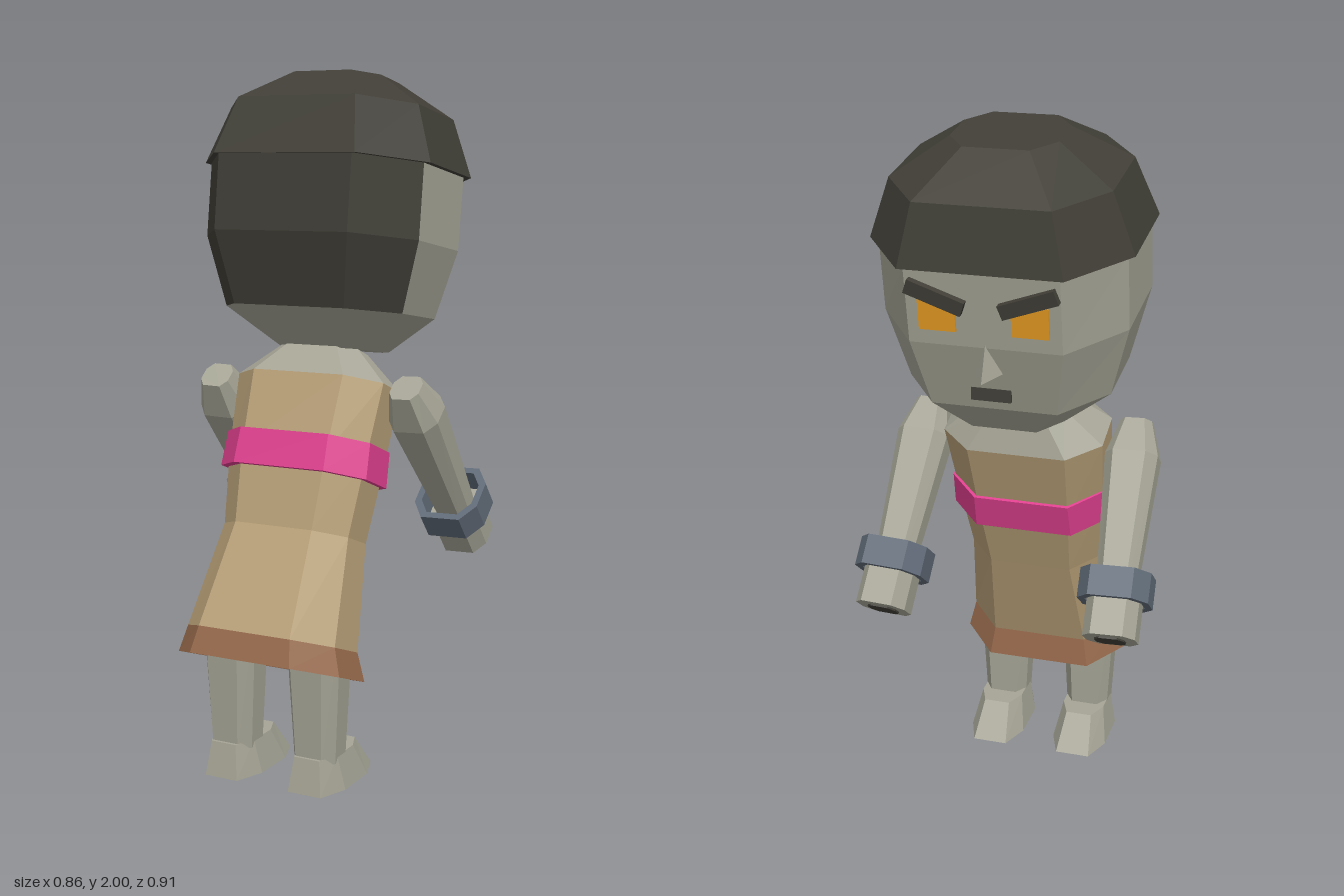
import * as THREE from 'three';

// Eight-sided cross-section (x, z), a square with cut corners, starting at the +z/+x corner
const OCT = [[0.61, 1], [1, 0.44], [1, -0.44], [0.61, -1], [-0.61, -1], [-1, -0.44], [-1, 0.44], [-0.61, 1]];
const ALL = [0, 1, 2, 3, 4, 5, 6, 7];

function fromPoints(points) {
  const g = new THREE.BufferGeometry();
  g.setAttribute('position', new THREE.Float32BufferAttribute(points.flat(), 3));
  g.computeVertexNormals();
  return g;
}

// Skin rings [y, zCentre, halfWidth, halfDepth], listed from bottom to top
function loft(rings, { bottom = false, top = false, sides = ALL } = {}) {
  const loops = rings.map(([y, cz, hx, hz]) => OCT.map(([x, z]) => [x * hx, y, cz + z * hz]));
  const pts = [];
  for (let r = 0; r + 1 < loops.length; r++) {
    for (const i of sides) {
      const j = (i + 1) % 8, lo = loops[r], hi = loops[r + 1];
      pts.push(lo[i], lo[j], hi[j], lo[i], hi[j], hi[i]);
    }
  }
  const first = loops[0], last = loops[loops.length - 1];
  for (let i = 1; i < 7; i++) {
    if (bottom) pts.push(first[0], first[i + 1], first[i]);
    if (top) pts.push(last[0], last[i], last[i + 1]);
  }
  return fromPoints(pts);
}

function material(name, color, doubleSided = false) {
  const m = new THREE.MeshStandardMaterial({ color, flatShading: true });
  m.name = name;
  if (doubleSided) m.side = THREE.DoubleSide;
  return m;
}

function add(parent, name, geometry, mat, x = 0, y = 0, z = 0) {
  const mesh = new THREE.Mesh(geometry, mat);
  mesh.name = name;
  mesh.position.set(x, y, z);
  parent.add(mesh);
  return mesh;
}

function group(parent, name, x, y, z, tilt) {
  const g = new THREE.Group();
  g.name = name;
  g.position.set(x, y, z);
  g.rotation.x = tilt;
  parent.add(g);
  return g;
}

export function createModel() {
  const skin = material('grey skin', 0xa6a596);
  const hair = material('dark hair', 0x403e36);
  const cloth = material('tan cloth', 0xb8a078, true);
  const trim = material('brown trim', 0x976a4c, true);
  const sash = material('pink sash', 0xe0408f);
  const metal = material('blue grey metal', 0x616b78);
  const amber = material('amber eyes', 0xf5a524);

  const model = new THREE.Group();
  model.name = 'figure';

  // Head, tipped forward; the face looks toward -z
  const head = group(model, 'head', 0, 1.2, -0.105, -0.15);
  const jaw = [0.105, 0.044, 0.285, 0.256];
  const cheek = [0.305, 0.063, 0.34, 0.316];
  const brow = [0.517, 0.064, 0.34, 0.32];
  add(head, 'chin', loft([[0, 0, 0.15, 0.136], jaw], { bottom: true }), skin);
  add(head, 'face', loft([jaw, cheek, brow], { sides: [1, 2, 3, 4, 5] }), skin);
  add(head, 'backHair', loft([jaw, cheek, brow], { sides: [6, 7, 0] }), hair);
  add(head, 'hairCap', loft([
    brow, [0.517, 0.06, 0.36, 0.331], [0.682, 0.057, 0.3, 0.283], [0.78, 0.057, 0.147, 0.137],
  ], { top: true }), hair);

  // Facial features
  for (const s of [1, -1]) {
    add(head, 'eye', new THREE.BoxGeometry(0.1, 0.085, 0.008), amber, s * 0.125, 0.39, -0.256);
    const eyebrow = add(head, 'eyebrow', new THREE.BoxGeometry(0.16, 0.04, 0.025), hair, s * 0.125, 0.445, -0.262);
    eyebrow.rotation.z = s * 0.35;
  }
  const bridge = [0, 0.32, -0.25], tip = [0, 0.225, -0.305];
  const nostrilL = [0.04, 0.225, -0.234], nostrilR = [-0.04, 0.225, -0.234];
  add(head, 'nose', fromPoints([
    bridge, nostrilL, tip, bridge, tip, nostrilR, nostrilL, nostrilR, tip,
  ]), skin);
  const mouth = add(head, 'mouth', new THREE.BoxGeometry(0.11, 0.035, 0.009), hair, 0, 0.155, -0.226);
  mouth.rotation.x = 0.2;

  // Leaning torso: open robe with trim, sash and bare shoulders
  const torso = group(model, 'torso', 0, 0.3375, 0.2825, -0.36);
  const hemTop = [0.077, 0.02, 0.235, 0.168];
  const collar = [0.825, 0, 0.235, 0.137];
  add(torso, 'hemTrim', loft([[0, 0, 0.257, 0.188], hemTop]), trim);
  add(torso, 'robe', loft([hemTop, [0.383, -0.008, 0.2, 0.134], [0.6, 0, 0.22, 0.142], collar]), cloth);
  add(torso, 'sash', loft([
    [0.547, 0, 0.2, 0.13], [0.547, 0, 0.235, 0.158], [0.65, 0.004, 0.23, 0.154], [0.65, 0.004, 0.2, 0.13],
  ]), sash);
  add(torso, 'shoulders', loft([collar, [0.925, 0, 0.125, 0.078]], { top: true }), skin);

  for (const s of [1, -1]) {
    // Legs and wedge-shaped feet
    add(model, 'leg', loft([[0.08, 0.24, 0.065, 0.07], [0.5, 0.245, 0.088, 0.088]], { top: true }), skin, s * 0.135);
    add(model, 'foot', loft([[0, 0.178, 0.085, 0.158], [0.1, 0.21, 0.065, 0.11]],
      { bottom: true, top: true }), skin, s * 0.135);

    // Arms reach forward and slightly out
    const arm = group(model, 'arm', s * 0.31, 1.08, 0.02, 0.68);
    arm.rotation.z = s * 0.04;
    add(arm, 'sleeveArm', loft([
      [-0.48, 0, 0.052, 0.052], [-0.05, 0, 0.076, 0.073], [0.055, 0, 0.045, 0.045],
    ], { top: true }), skin);
    add(arm, 'hand', loft([[-0.577, 0, 0.074, 0.074], [-0.455, 0, 0.074, 0.074]], { bottom: true, top: true }), skin);
    add(arm, 'palmHollow', loft([[-0.582, 0, 0.042, 0.042], [-0.576, 0, 0.042, 0.042]], { bottom: true }), hair);
    const inner = [-0.475, 0, 0.08, 0.08];
    add(arm, 'bracelet', loft([
      inner, [-0.475, 0, 0.1, 0.1], [-0.39, 0, 0.1, 0.1], [-0.39, 0, 0.08, 0.08], inner,
    ]), metal);
  }
  return model;
}
